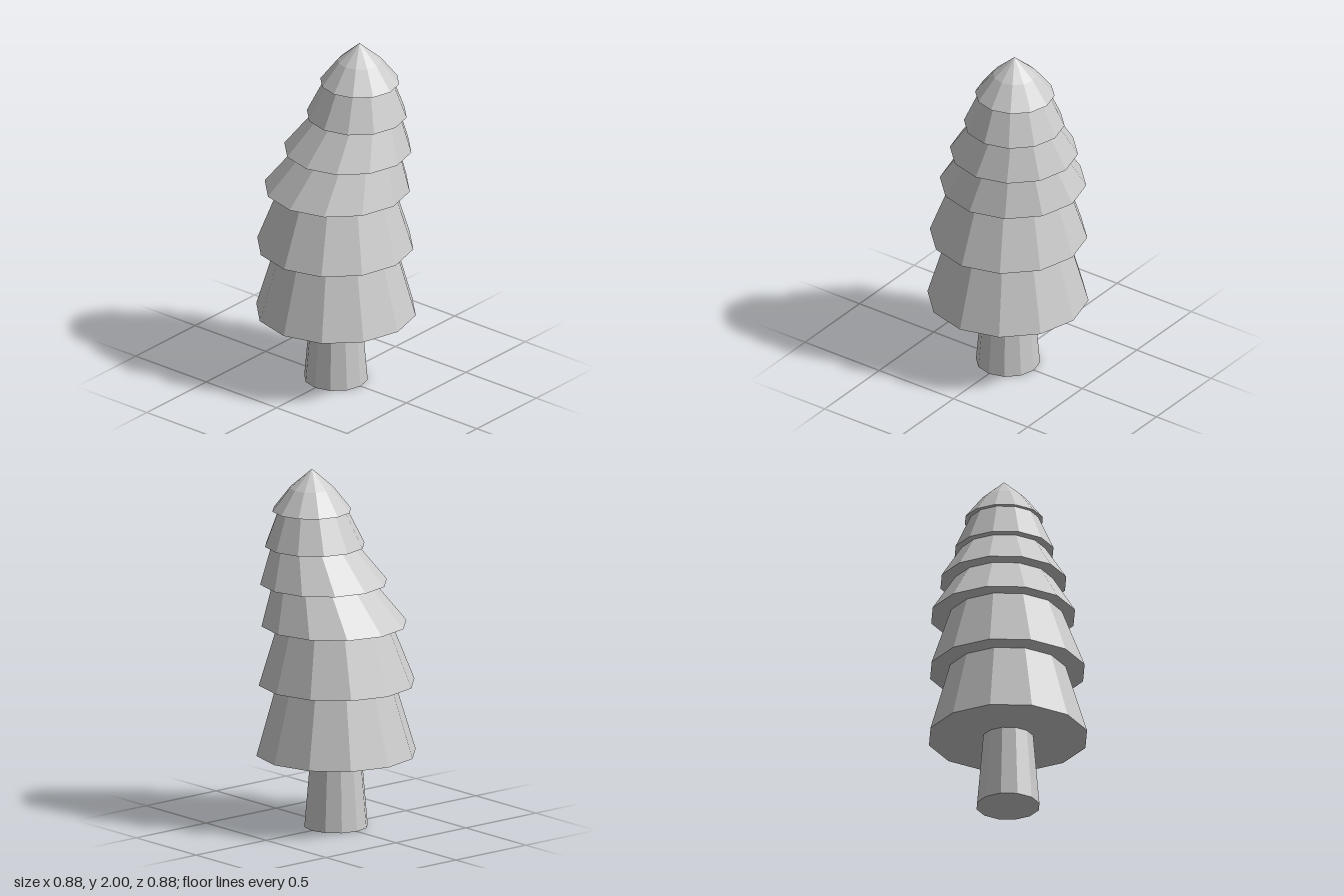
import * as THREE from 'three';

const SIDES = 12;
const material = new THREE.MeshStandardMaterial({ color: 0xcccccc, flatShading: true });

// Rings are [x, y, z, radius], listed from top to bottom.
function loft(name, rings) {
  const indexed = new THREE.CylinderGeometry(1, 1, 1, SIDES, rings.length - 1, true);
  const pos = indexed.attributes.position;
  for (let i = 0; i < pos.count; i++) {
    const [x, y, z, r] = rings[Math.floor(i / (SIDES + 1))];
    pos.setXYZ(i, x + pos.getX(i) * r, y, z + pos.getZ(i) * r);
  }
  const geometry = indexed.toNonIndexed();
  geometry.computeVertexNormals();
  const mesh = new THREE.Mesh(geometry, material);
  mesh.name = name;
  return mesh;
}

export function createModel() {
  const tree = new THREE.Group();
  tree.name = 'tree';

  // Tapered trunk
  const trunk = new THREE.Mesh(new THREE.CylinderGeometry(0.14, 0.175, 0.41, SIDES), material);
  trunk.name = 'trunk';
  trunk.position.y = 0.205;
  tree.add(trunk);

  // Leaning foliage tiers, bottom to top: outer rim, then the rings above it
  const tiers = [
    [[0, 0.41, 0, 0.44], [0.005, 0.805, 0, 0.325]],
    [[0, 0.805, -0.005, 0.43], [0.015, 1.14, 0, 0.312]],
    [[0.025, 1.14, -0.012, 0.4], [0.067, 1.37, 0.038, 0.275]],
    [[0.063, 1.37, 0.031, 0.35], [0.1, 1.575, 0.07, 0.235]],
    [[0.093, 1.575, 0.069, 0.275], [0.1, 1.77, 0.079, 0.19]],
    [[0.105, 1.77, 0.08, 0.217], [0.105, 1.895, 0.08, 0.12], [0.103, 2, 0.08, 0]],
  ];

  // Each tier's underside runs inward to the top of the part below
  let inner = [0, 0.41, 0, 0.14];
  tiers.forEach((rings, i) => {
    tree.add(loft(`foliageTier${i + 1}`, [...rings].reverse().concat([inner])));
    inner = rings[rings.length - 1];
  });

  return tree;
}
